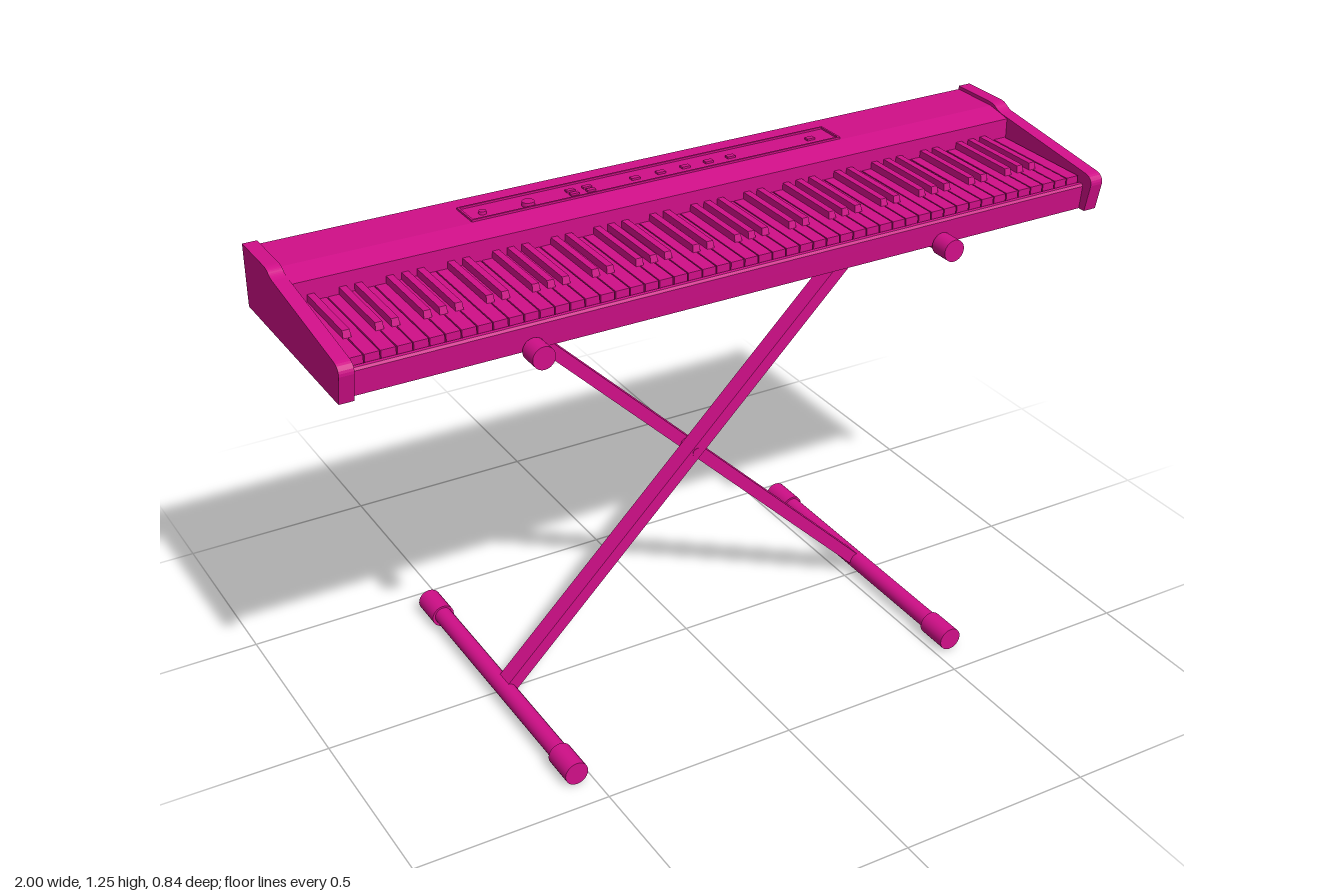
import * as THREE from 'three';

const material = new THREE.MeshStandardMaterial({ color: 0xd00f88 });

export function createModel() {
  const model = new THREE.Group();
  model.name = 'keyboardOnStand';

  function add(parent, name, geometry, x = 0, y = 0, z = 0) {
    const mesh = new THREE.Mesh(geometry, material);
    mesh.name = name;
    mesh.position.set(x, y, z);
    parent.add(mesh);
    return mesh;
  }
  function group(name) {
    const g = new THREE.Group();
    g.name = name;
    model.add(g);
    return g;
  }
  // Extrude a (z, y) side profile across x, centred on x = 0
  function across(shape, width) {
    const g = new THREE.ExtrudeGeometry(shape, { depth: width, bevelEnabled: false, curveSegments: 6 });
    g.translate(0, 0, -width / 2);
    return g.rotateY(-Math.PI / 2);
  }
  const rod = (r, length) => new THREE.CylinderGeometry(r, r, length, 24).rotateX(Math.PI / 2);

  // Case: base, key bed and raised rear deck
  const body = new THREE.Shape([
    [-0.237, 1.089], [0.273, 1.089], [0.28, 1.15], [0.276, 1.156], [0.266, 1.156], [0.266, 1.15],
    [-0.03, 1.15], [-0.03, 1.222], [-0.05, 1.226], [-0.1, 1.235], [-0.237, 1.235],
  ].map(p => new THREE.Vector2(...p)));
  add(model, 'case', across(body, 1.94));

  // End cheeks with a rounded nose and a stepped top
  const cheek = new THREE.Shape();
  cheek.moveTo(-0.237, 1.089);
  cheek.lineTo(0.293, 1.089);
  cheek.lineTo(0.309, 1.16);
  cheek.quadraticCurveTo(0.311, 1.182, 0.287, 1.186);
  cheek.lineTo(-0.056, 1.228);
  cheek.quadraticCurveTo(-0.07, 1.231, -0.08, 1.238);
  cheek.quadraticCurveTo(-0.09, 1.244, -0.105, 1.244);
  cheek.lineTo(-0.237, 1.244);
  for (const s of [-1, 1]) add(model, s > 0 ? 'leftCheek' : 'rightCheek', across(cheek, 0.035), s * 0.9825);

  // 88 keys starting from A; a black key follows every white one except B and E
  const keys = group('keys');
  const whites = 52, pitch = 1.925 / whites;
  for (let i = 0; i < whites; i++) {
    const x = -0.9625 + (i + 0.5) * pitch;
    add(keys, 'whiteKey', new THREE.BoxGeometry(pitch - 0.003, 0.026, 0.292), x, 1.16, 0.117);
    if (i < whites - 1 && ![1, 4].includes(i % 7)) {
      const black = new THREE.BoxGeometry(0.021, 0.03, 0.208);
      const p = black.attributes.position;
      // Taper the top and slope its front end
      for (let k = 0; k < p.count; k++) if (p.getY(k) > 0) {
        p.setX(k, p.getX(k) * 0.8);
        if (p.getZ(k) > 0) p.setZ(k, p.getZ(k) - 0.008);
      }
      black.computeVertexNormals();
      add(keys, 'blackKey', black, x + pitch / 2, 1.175, 0.075);
    }
  }

  // Control panel with a raised rim, knobs and buttons
  const controls = group('controls');
  for (const z of [-0.185, -0.107]) add(controls, 'panelRim', new THREE.BoxGeometry(1.0, 0.007, 0.005), 0, 1.2365, z);
  for (const x of [-0.5, 0.5]) add(controls, 'panelRim', new THREE.BoxGeometry(0.005, 0.007, 0.083), x, 1.2365, -0.146);
  add(controls, 'smallKnob', new THREE.CylinderGeometry(0.009, 0.01, 0.008, 20), -0.46, 1.238, -0.138);
  add(controls, 'volumeKnob', new THREE.CylinderGeometry(0.015, 0.016, 0.012, 24), -0.348, 1.239, -0.128);
  for (const x of [-0.228, -0.184]) for (const z of [-0.149, -0.128])
    add(controls, 'squareButton', new THREE.BoxGeometry(0.022, 0.006, 0.012), x, 1.237, z);
  for (const x of [-0.06, 0.01, 0.078, 0.143, 0.205, 0.435])
    add(controls, 'button', new THREE.BoxGeometry(0.022, 0.006, 0.014), x, 1.237, -0.139);

  // Connector plate on the back
  add(model, 'rearPlate', new THREE.BoxGeometry(0.25, 0.07, 0.006), -0.005, 1.17, -0.238);

  // Crossed stand
  const stand = group('stand');
  const topY = 1.093, footY = 0.03, reach = 0.543;
  for (const s of [-1, 1]) {
    const bar = add(stand, 'crossBar',
      new THREE.BoxGeometry(Math.hypot(2 * reach, topY - footY), 0.032, 0.049), 0, (topY + footY) / 2, s * 0.029);
    bar.rotation.z = s * Math.atan2(topY - footY, 2 * reach);

    add(stand, 'footTube', rod(0.023, 0.8), s * reach, footY + 0.002, 0);
    for (const e of [-1, 1]) add(stand, 'footCap', rod(0.03, 0.088), s * reach, footY, e * 0.377);

    add(stand, 'supportTube', rod(0.022, 0.58), s * reach, topY, 0.02);
    for (const e of [-1, 1]) add(stand, 'supportCap', rod(0.028, 0.05), s * reach, topY, 0.02 + e * 0.284);
  }
  // Pivot bolt where the bars cross
  add(stand, 'pivotBolt', rod(0.012, 0.11), 0, (topY + footY) / 2, 0);

  return model;
}
